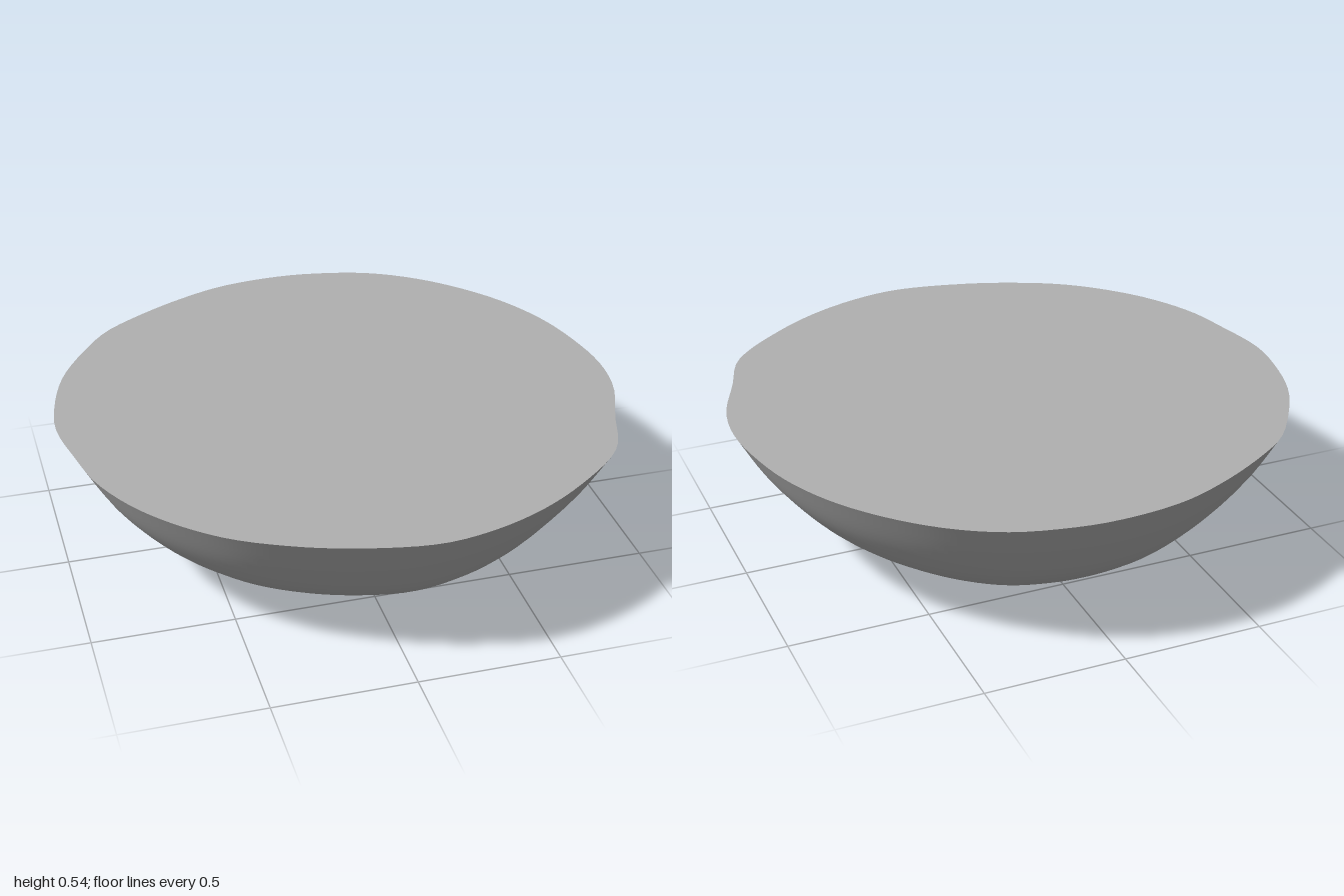
import * as THREE from 'three';

// Rim outline as [x, z], clockwise from the back seen from above
const RIM = [
  [0.03, -1], [0.2, -0.985], [0.4, -0.93], [0.6, -0.805], [0.8, -0.59], [0.92, -0.37],
  [0.98, -0.15], [1, 0.03], [0.98, 0.2], [0.9, 0.41], [0.82, 0.61], [0.6, 0.805],
  [0.4, 0.92], [0.2, 0.985], [0.05, 1], [-0.2, 0.955], [-0.4, 0.885], [-0.6, 0.775],
  [-0.8, 0.575], [-0.92, 0.36], [-0.965, 0.18], [-1, -0.03], [-0.98, -0.2], [-0.92, -0.4],
  [-0.8, -0.6], [-0.71, -0.71], [-0.6, -0.79], [-0.4, -0.9], [-0.2, -0.975],
];
const HEIGHT = 0.535;
const SEGMENTS = 120;
const ROWS = 28;

// Wall section as [radius factor, y], sideways and front-to-back
const SIDE = [[0, 0], [0.2, 0.012], [0.4, 0.043], [0.6, 0.12], [0.77, 0.225], [0.9, 0.365], [1, HEIGHT]];
const DEPTH = [[0, 0], [0.2, 0.01], [0.4, 0.035], [0.6, 0.09], [0.79, 0.215], [0.9, 0.36], [1, HEIGHT]];

const curve2 = (pts) => new THREE.SplineCurve(pts.map(([a, b]) => new THREE.Vector2(a, b)));

function rimPoints() {
  const loop = new THREE.CatmullRomCurve3(RIM.map(([x, z]) => new THREE.Vector3(x, 0, z)), true);
  return loop.getSpacedPoints(SEGMENTS).slice(0, SEGMENTS);
}

// Curved wall: the rim outline shrunk down to the lowest point
function wallGeometry(rim) {
  const side = curve2(SIDE), depth = curve2(DEPTH);
  const positions = [0, 0, 0], index = [];
  for (let r = 1; r <= ROWS; r++) {
    const a = side.getPoint(r / ROWS), b = depth.getPoint(r / ROWS);
    for (const p of rim) {
      const w = (p.z * p.z) / (p.x * p.x + p.z * p.z);
      const q = a.clone().lerp(b, w);
      positions.push(p.x * q.x, q.y, p.z * q.x);
    }
  }
  const at = (r, i) => 1 + (r - 1) * SEGMENTS + (i % SEGMENTS);
  for (let i = 0; i < SEGMENTS; i++) {
    index.push(0, at(1, i), at(1, i + 1));
    for (let r = 1; r < ROWS; r++) {
      const a = at(r, i), b = at(r, i + 1), c = at(r + 1, i + 1), d = at(r + 1, i);
      index.push(a, d, c, a, c, b);
    }
  }
  const g = new THREE.BufferGeometry();
  g.setAttribute('position', new THREE.Float32BufferAttribute(positions, 3));
  g.setIndex(index);
  g.computeVertexNormals();
  return g;
}

export function createModel() {
  const group = new THREE.Group();
  group.name = 'flatToppedBowl';
  const grey = new THREE.MeshStandardMaterial({ color: 0xb0b0b0 });
  grey.name = 'grey';
  const rim = rimPoints();

  const wall = new THREE.Mesh(wallGeometry(rim), grey);
  wall.name = 'curvedUnderside';

  // Flat lid closing the rim
  const shape = new THREE.Shape(rim.map((p) => new THREE.Vector2(p.x, -p.z)));
  const lid = new THREE.Mesh(new THREE.ShapeGeometry(shape).rotateX(-Math.PI / 2), grey);
  lid.position.y = HEIGHT;
  lid.name = 'flatTop';

  group.add(wall, lid);
  return group;
}
